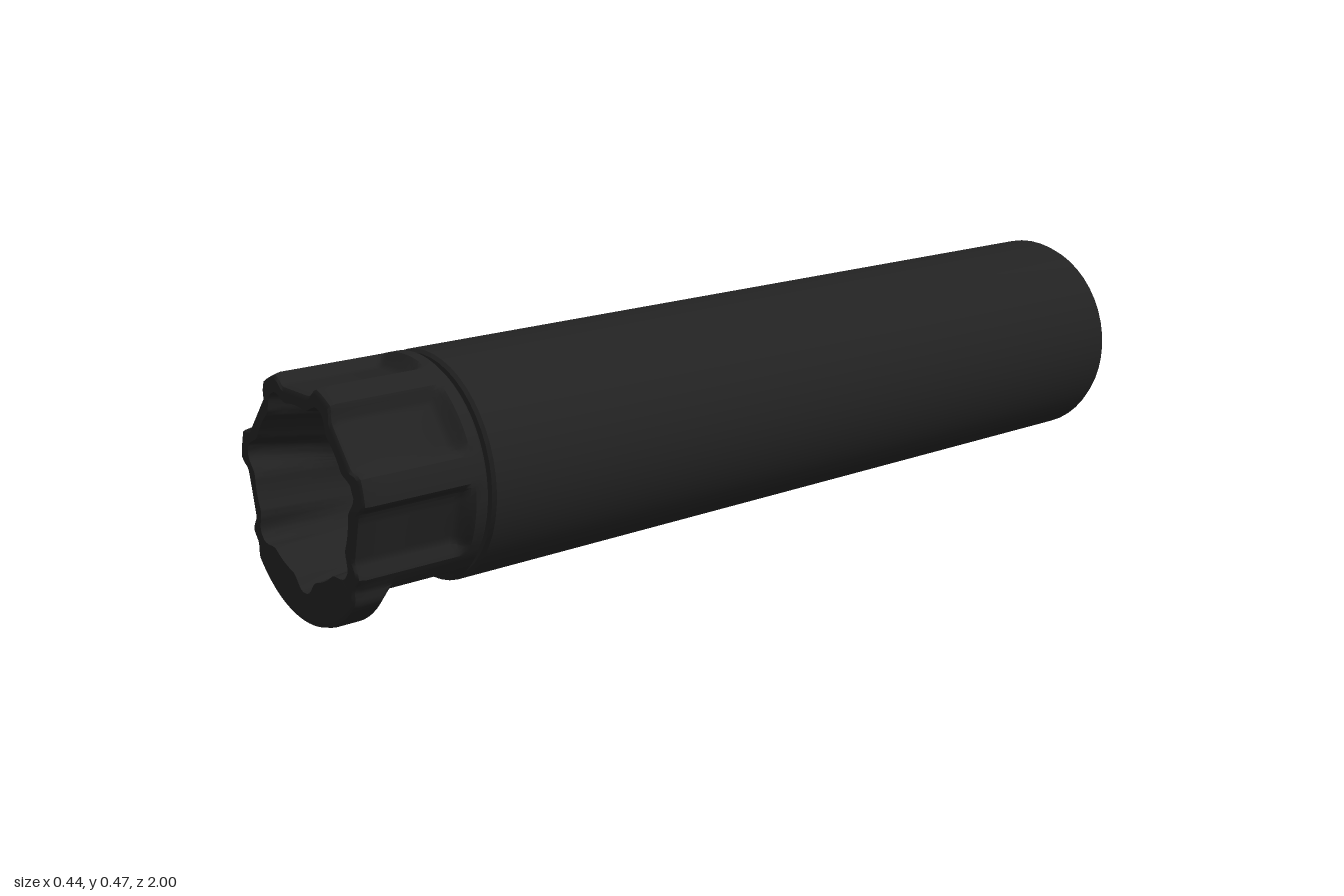
import * as THREE from 'three';
import { toCreasedNormals } from 'three/addons/utils/BufferGeometryUtils.js';

const R = 0.22, AXIS_Y = 0.25, PITCH = (Math.PI * 2) / 7;
const { sin, cos, abs, min, PI } = Math;
const lerp = THREE.MathUtils.lerp;
const smooth = THREE.MathUtils.smoothstep;

// Skin a list of rings; each ring is { z, r: number or function of angle, y: vertical shift }
function loft(rings, n) {
  const pos = [], idx = [];
  rings.forEach(({ z, r, y = 0 }, i) => {
    for (let j = 0; j < n; j++) {
      const a = (j / n) * PI * 2;
      const q = typeof r === 'function' ? r(a) : r;
      pos.push(q * cos(a), q * sin(a) + y, z);
      if (i < rings.length - 1) {
        const k = i * n + j, k1 = i * n + ((j + 1) % n);
        idx.push(k, k1, k + n, k1, k1 + n, k + n);
      }
    }
  });
  const g = new THREE.BufferGeometry();
  g.setAttribute('position', new THREE.Float32BufferAttribute(pos, 3));
  g.setIndex(idx);
  return toCreasedNormals(g, 0.6);
}

// Angle to the middle of the nearest of seven grooves (one is at the top)
function fromGroove(a) {
  const t = (a - PI / 2) / PITCH;
  return abs(t - Math.round(t)) * PITCH;
}

// Cap radius with flat-floored grooves at strength g and a flattened underside
function grooved(a, g) {
  const d = fromGroove(a);
  const floor = min(R, 0.19 / cos(d));
  const r = lerp(R, lerp(floor, R, smooth(d, 0.24, 0.34)), g);
  return sin(a) < 0 ? min(r, 0.185 / -sin(a)) : r;
}

// Lip below the mouth: a lowered arc with upright ends
function lipped(a) {
  const r = grooved(a, 1);
  if (sin(a) > -0.635) return r;
  const c = -0.035, s = sin(a) * c;
  const arc = s + Math.sqrt(s * s + 0.2145 ** 2 - c * c);
  return min(arc, 0.17 / Math.max(abs(cos(a)), 1e-4));
}

// Mouth radius, hollowed behind each lug
const mouth = (low, high) => (a) => lerp(low, high, smooth(fromGroove(a), 0.2, 0.42));

// Twelve-sided bore outline
const bore = (a) => {
  const step = PI / 6, m = a % step;
  return (0.05 * cos(step / 2)) / cos(m - step / 2);
};

export function createModel() {
  const black = new THREE.MeshStandardMaterial({ color: 0x222222 });
  black.name = 'matte black';
  const group = new THREE.Group();
  const add = (name, geometry) => {
    const m = new THREE.Mesh(geometry, black);
    m.name = name;
    m.position.y = AXIS_Y;
    group.add(m);
  };

  // Long tube with rounded rear edge and a counterbored rear opening
  add('mainTube', loft([
    { z: -0.975, r: bore },
    { z: -0.975, r: 0.063 },
    { z: -1, r: 0.07 },
    { z: -1, r: 0.19 },
    { z: -0.995, r: 0.202 },
    { z: -0.985, r: 0.213 },
    { z: -0.97, r: R },
    { z: 0.728, r: R },
    { z: 0.734, r: 0.214 },
    { z: 0.734, r: 0.18 },
  ], 48));

  // Neck showing in the seam between tube and cap
  add('neck', loft([{ z: 0.72, r: 0.18 }, { z: 0.76, r: 0.18 }], 48));

  // Front cap: grooved outside, lip, rim, then the tapering mouth down to its floor
  const outer = (g, d = 0) => (a) => grooved(a, g) - d;
  add('frontCap', loft([
    { z: 0.742, r: 0.17 },
    { z: 0.742, r: outer(0, 0.008) },
    { z: 0.75, r: outer(0) },
    { z: 0.772, r: outer(0) },
    { z: 0.78, r: outer(0.25) },
    { z: 0.79, r: outer(0.75) },
    { z: 0.802, r: outer(1) },
    { z: 0.92, r: outer(1) },
    { z: 0.942, r: lipped },
    { z: 0.985, r: lipped },
    { z: 0.996, r: (a) => lipped(a) - 0.003 },
    { z: 1, r: (a) => lipped(a) - 0.01 },
    { z: 1, r: mouth(0.163, 0.188) },
    { z: 0.97, r: mouth(0.159, 0.184), y: -0.002 },
    { z: 0.89, r: mouth(0.15, 0.166), y: -0.007 },
    { z: 0.82, r: 0.138, y: -0.012 },
    { z: 0.82, r: bore },
  ], 168));

  // Straight bore through the whole length
  add('bore', loft([{ z: 0.82, r: 0.05 }, { z: -0.975, r: 0.05 }], 12));

  return group;
}
